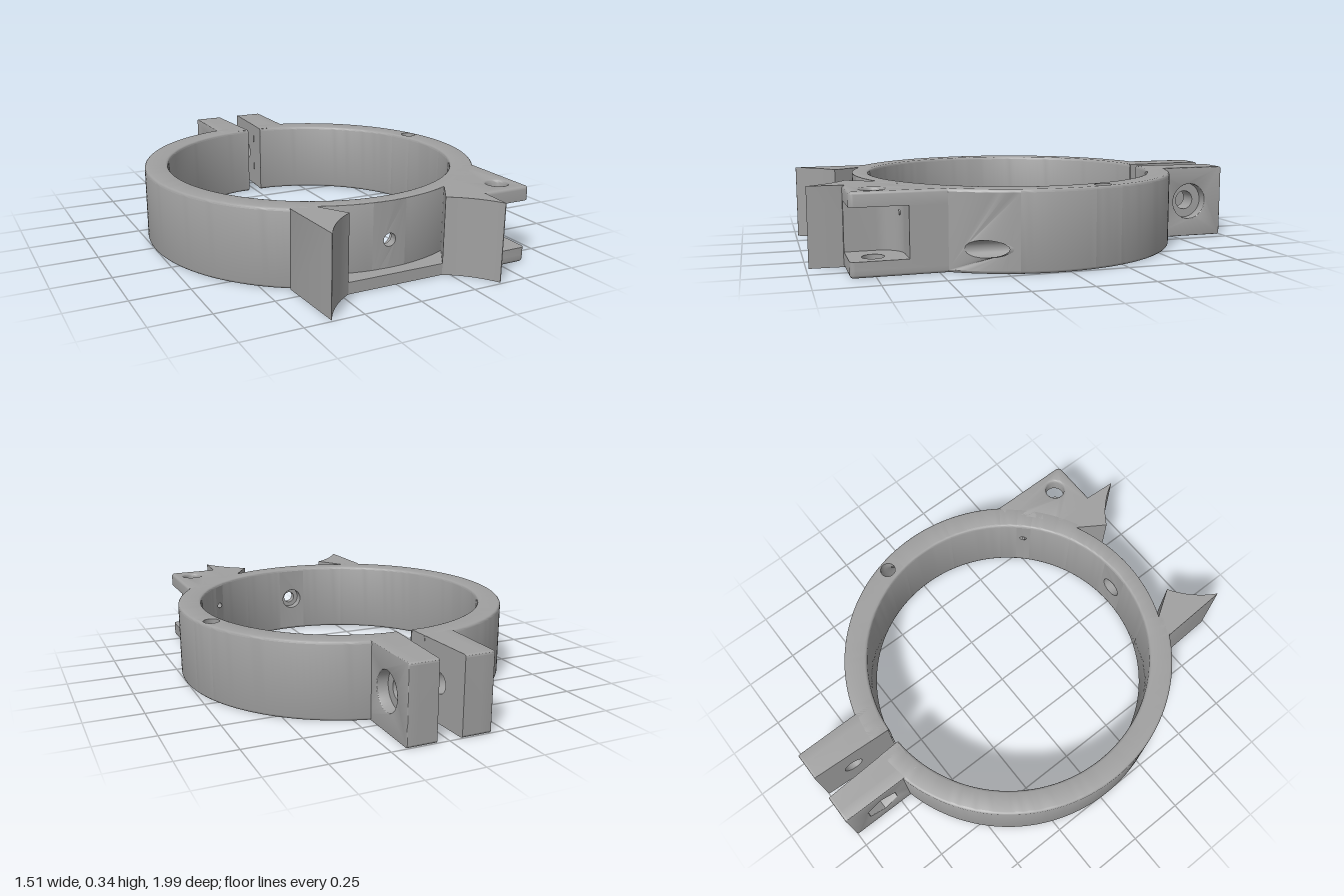
import * as THREE from 'three';
import { toCreasedNormals } from 'three/addons/utils/BufferGeometryUtils.js';

const H = 0.335, RI = 0.65, RO = 0.755, RP = 0.725; // height, inner, outer and pocket radii
const CZ = 0.035;   // ring centre in z
const B = 0.012;    // edge rounding
const rad = THREE.MathUtils.degToRad;

export function createModel() {
  const model = new THREE.Group();
  const grey = new THREE.MeshStandardMaterial({ color: 0xa0a0a0, side: THREE.DoubleSide });
  const add = (name, geo, parent = model) => {
    const mesh = new THREE.Mesh(geo, grey);
    mesh.name = name;
    parent.add(mesh);
    return mesh;
  };

  // points of an arc, angle measured from +z towards +x
  const arc = (cx, cz, r, a0, a1, n) => Array.from({ length: n + 1 }, (_, i) => {
    const a = rad(a0 + (a1 - a0) * i / n);
    return [cx + r * Math.sin(a), cz + r * Math.cos(a)];
  });

  // extrusion whose start and end edges are rounded only where asked
  const extrude = (shape, depth, roundStart, roundEnd, b = B) => {
    const geo = new THREE.ExtrudeGeometry(shape, {
      depth: depth - b * (roundStart + roundEnd), bevelEnabled: true, bevelThickness: b,
      bevelSize: b, bevelOffset: -b, bevelSegments: 3, curveSegments: 24,
    });
    const p = geo.attributes.position, end = depth - b * (roundStart + roundEnd);
    for (let i = 0; i < p.count; i++) {
      let z = p.getZ(i);
      if (!roundStart) z = Math.max(z, 0);
      if (!roundEnd) z = Math.min(z, end);
      p.setZ(i, z + b * roundStart);
    }
    return geo;
  };

  // horizontal slab from an outline in x and z
  const slab = (pts, y0, y1, hole, roundBottom = 0, roundTop = 0) => {
    const toV = ([x, z]) => new THREE.Vector2(x, -z);
    const shape = new THREE.Shape(pts.map(toV));
    if (hole) shape.holes.push(new THREE.Path(hole.map(toV)));
    const geo = extrude(shape, y1 - y0, roundBottom, roundTop, roundBottom + roundTop ? B : 0.001);
    return toCreasedNormals(geo.rotateX(-Math.PI / 2).translate(0, y0, 0), 0.6);
  };

  // ring cross-section with rounded corners: 4 points per corner, starting outer top
  const profile = (R, bo) => {
    const pts = [];
    const corner = (r, y, b, start) => {
      for (let i = 0; i < 4; i++) {
        const a = rad(start + i * 30);
        pts.push(new THREE.Vector2(r + b * Math.cos(a), y + b * Math.sin(a)));
      }
    };
    corner(R - bo, H - bo, bo, 0);
    corner(RI + B, H - B, B, 90);
    corner(RI + B, B, B, 180);
    corner(R - bo, bo, bo, 270);
    return pts;
  };
  const P = profile(RO, B), F = profile(RP, 0.001);
  const band = (name, pts, a0, a1) => add(name, toCreasedNormals(
    new THREE.LatheGeometry(pts, Math.ceil((a1 - a0) / 2), rad(a0), rad(a1 - a0)).translate(0, 0, CZ), 0.6));

  // curved face with a hole, drawn flat in (angle, v) and then bent
  const patch = (name, a0, a1, v0, v1, hole, bend) => {
    const n = Math.ceil((a1 - a0) / 2), us = Array.from({ length: n + 1 }, (_, i) => rad(a0 + (a1 - a0) * i / n));
    const shape = new THREE.Shape([...us.map(u => new THREE.Vector2(u, v0)),
      ...us.reverse().map(u => new THREE.Vector2(u, v1))]);
    shape.holes.push(new THREE.Path(hole));
    const geo = new THREE.ShapeGeometry(shape), p = geo.attributes.position;
    for (let i = 0; i < p.count; i++) p.setXYZ(i, ...bend(p.getX(i), p.getY(i)));
    geo.computeVertexNormals();
    add(name, geo);
  };
  const wall = R => (u, y) => [R * Math.sin(u), y, CZ + R * Math.cos(u)];
  const holeInWall = (x, y, r, R) => arc(x, y, r, 0, 345, 23).map(([a, b]) => new THREE.Vector2(Math.asin(a / R), b));

  // clamp ring
  band('ringRight', [...P, P[0]], -177, -24.4);
  band('pocketWallRight', [...F, F[0]], -24.4, -6);
  band('pocketWallTop', F.slice(0, 8), -6, 6);
  band('pocketWallBottom', F.slice(8), -6, 6);
  band('pocketWallLeft', [...F, F[0]], 6, 24.4);
  band('ringBehindBlock', P, 24.4, 42);
  band('ringBehindBlockTop', P.slice(0, 8), 42, 48);
  band('ringBehindBlockBottom', P.slice(8), 42, 48);
  band('ringBesideBlock', P, 48, 55);
  band('ringAtChannelMouth', P, 55, 77);
  band('ringAlongChannel', [...P, P[0]], 77, 101);
  band('ringAtChannelExit', [...P.slice(4), ...P.slice(0, 4)], 101, 111);
  band('ringLeft', [...P, P[0]], 111, 177);

  // screw hole through the pocket wall, counterbored from inside
  patch('pocketHoleFace', -6, 6, 0.001, H - 0.001, holeInWall(0, 0.17, 0.028, RP), wall(RP));
  patch('counterboreFace', -6, 6, B, H - B, holeInWall(0, 0.17, 0.05, RI), wall(RI));
  const bore = [[0.05, RI - 0.002], [0.05, 0.69], [0.028, 0.69], [0.028, RP]].map(p => new THREE.Vector2(...p));
  add('pocketScrewHole', toCreasedNormals(
    new THREE.LatheGeometry(bore, 24).rotateX(Math.PI / 2).translate(0, 0.17, CZ), 0.6));

  // small pin hole behind the hinge block
  patch('pinHoleFace', 42, 48, B, H - B, holeInWall(0.46, 0.225, 0.012, RI), wall(RI));
  add('pinHole', new THREE.CylinderGeometry(0.012, 0.012, 0.14, 16, 1, true)
    .rotateX(Math.PI / 2).translate(0.46, 0.225, 0.565));

  // curved channel from the outer wall up to the top face
  const cr = 0.035, surface = x => CZ + Math.sqrt(RO * RO - x * x);
  patch('channelMouth', 55, 77, B, H - B, holeInWall(0.69, 0.1, cr, RO), wall(RO));
  const exit = arc(0.68, -0.16, cr, 0, 345, 23)
    .map(([x, z]) => new THREE.Vector2(Math.atan2(x, z - CZ), Math.hypot(x, z - CZ)));
  patch('channelExit', 101, 111, RI + B, RO - B, exit, (u, r) => [r * Math.sin(u), H, CZ + r * Math.cos(u)]);
  const path = new THREE.CatmullRomCurve3([[0.69, 0.1, 0.44], [0.69, 0.1, 0.34], [0.695, 0.1, 0.2], [0.695, 0.12, 0.06],
    [0.69, 0.2, -0.08], [0.68, 0.28, -0.15], [0.68, H, -0.16], [0.68, H + 0.04, -0.16]].map(p => new THREE.Vector3(...p)));
  const tube = new THREE.TubeGeometry(path, 48, cr, 24), tp = tube.attributes.position;
  for (let i = 0; i < tp.count; i++) {
    tp.setY(i, Math.min(tp.getY(i), H));
    tp.setZ(i, Math.min(tp.getZ(i), surface(tp.getX(i))));
  }
  add('channel', tube);

  // pointed saddle horns on both sides of the pocket
  const saddle = Math.hypot(0.22, 1.193 - 0.82);
  const horn = slab([[0.3, 0.695], ...arc(0, 1.193, saddle, 180 - 30.5, 180 - 62, 12),
    [0.385, 0.99], [0.4, 0.68], [0.38, 0.62], [0.28, 0.67]], 0, H);
  add('hornLeft', horn);
  add('hornRight', horn).scale.x = -1;

  // pocket floor
  add('pocketFloor', slab([[-0.3, 0.695], [-0.22, 0.82], [0.22, 0.82], [0.3, 0.695],
    ...arc(0, CZ, 0.7, 23, -23, 16)], 0, 0.05));

  // hinge block: two prongs with a slot between them
  const block = new THREE.Group();
  block.name = 'hingeBlock';
  model.add(block);
  const back = [[0.62, 0.466], ...arc(0, CZ, 0.7, 53, 31, 8)];
  const prong = [[0.37, 0.85], ...arc(0.6, 0.83, 0.02, 0, 90, 4), ...back];
  const pin = arc(0.53, 0.75, 0.045, 0, 345, 23), nut = arc(0.53, 0.75, 0.068, 0, 300, 5);
  add('lowerProngNutSeat', slab(prong, 0, 0.03, nut, 1, 0), block);
  add('lowerProng', slab(prong, 0.03, 0.065, pin), block);
  add('slotWall', slab([[0.37, 0.85], [0.41, 0.85], ...arc(0.51, 0.72, 0.1, 270, 180, 12), [0.62, 0.62], ...back],
    0.065, 0.275), block);
  add('upperProng', slab(prong, 0.275, H, pin, 0, 1), block);

  // clamp tabs, tapered towards the gap, one with a round and one with a hexagonal seat
  const tab = (name, seat) => {
    const group = new THREE.Group();
    group.name = name;
    const layer = (hole, x0, x1, round) => {
      const s = new THREE.Shape();
      s.moveTo(0.62, 0).lineTo(1 - B, 0).quadraticCurveTo(1, 0, 1, B).lineTo(1, H - B)
        .quadraticCurveTo(1, H, 1 - B, H).lineTo(0.62, H);
      s.holes.push(new THREE.Path(hole.map(p => new THREE.Vector2(...p))));
      return extrude(s, x1 - x0, 0, round, 0.003).rotateY(Math.PI / 2).translate(x0, 0, 0);
    };
    const inner = layer(arc(0.83, 0.17, 0.045, 0, 345, 23), 0.035, 0.135, 0), p = inner.attributes.position;
    for (let i = 0; i < p.count; i++) {
      if (p.getX(i) < 0.05) p.setX(i, 0.035 + (-0.62 - p.getZ(i)) * 0.053);
    }
    inner.computeVertexNormals();
    add('tabPlate', toCreasedNormals(inner, 0.6), group);
    add('tabSeat', toCreasedNormals(layer(seat, 0.135, 0.185, 1), 0.6), group);
    model.add(group);
    return group;
  };
  tab('tabLeft', arc(0.83, 0.17, 0.085, 0, 350, 35));
  tab('tabRight', arc(0.83, 0.17, 0.085, 0, 300, 5)).scale.x = -1;

  return model;
}
